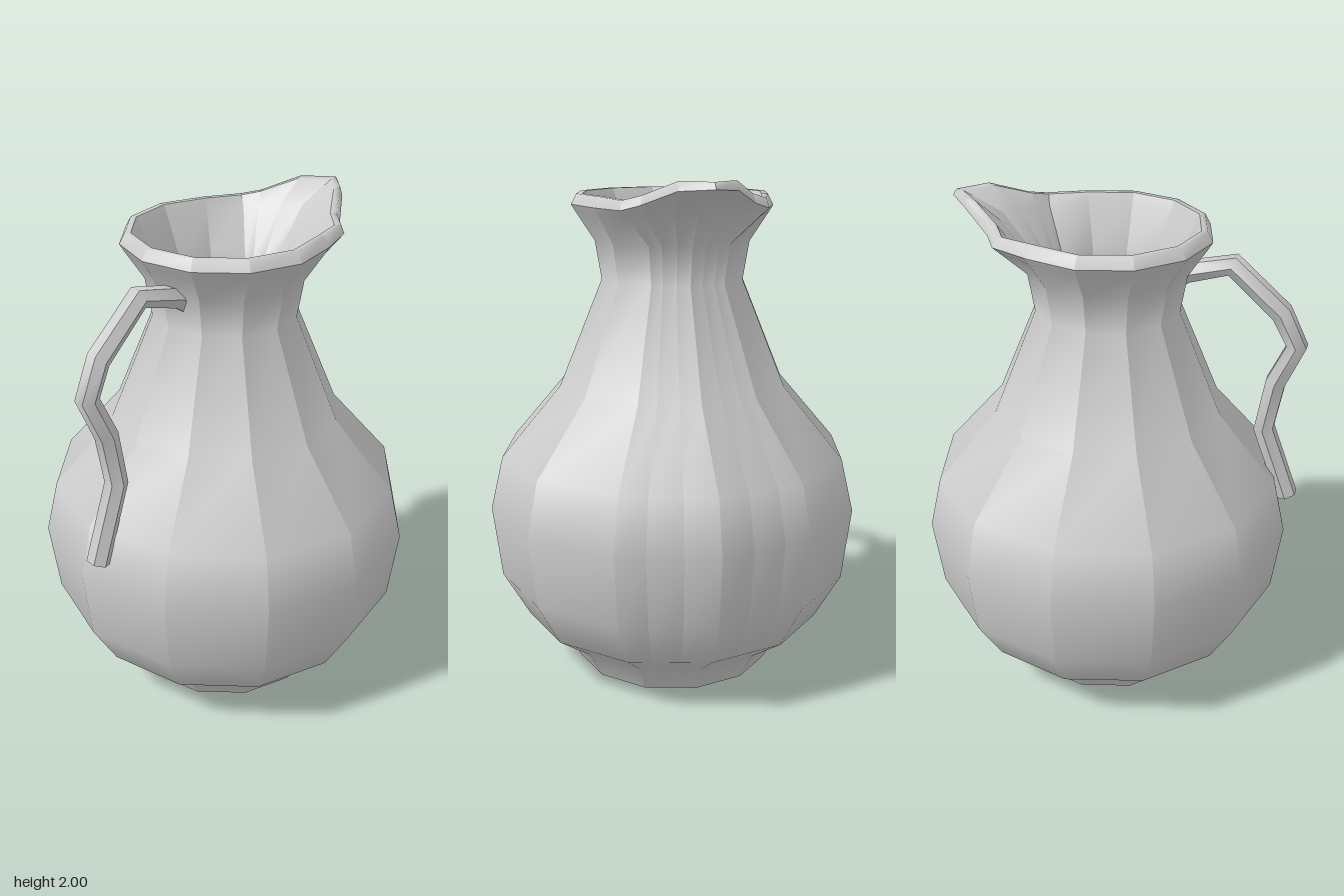
import * as THREE from 'three';

const V = (x, y, z) => new THREE.Vector3(x, y, z);
const CX = 0.013; // axis of the jug, offset by the handle

const material = new THREE.MeshStandardMaterial({ color: 0xcccccc, side: THREE.DoubleSide });

// Joins neighbouring columns of points: smooth along a column, hard edges between columns.
function strips(columns) {
  const pos = [], index = [];
  columns.forEach((a, i) => {
    const b = columns[(i + 1) % columns.length];
    const base = pos.length / 3;
    a.forEach((p, j) => {
      pos.push(...p.toArray(), ...b[j].toArray());
      if (j === 0) return;
      const k = base + 2 * j;
      index.push(k - 2, k - 1, k + 1, k - 2, k + 1, k);
    });
  });
  const g = new THREE.BufferGeometry();
  g.setAttribute('position', new THREE.Float32BufferAttribute(pos, 3));
  g.setIndex(index);
  g.computeVertexNormals();
  return g;
}

// Flat cap from a ring of points, facing up or down
function cap(ring, up) {
  const pos = [], c = ring.reduce((s, p) => s.add(p), V(0, 0, 0)).divideScalar(ring.length);
  ring.forEach((p, i) => {
    const q = ring[(i + 1) % ring.length];
    for (const v of up ? [c, p, q] : [c, q, p]) pos.push(...v.toArray());
  });
  const g = new THREE.BufferGeometry();
  g.setAttribute('position', new THREE.Float32BufferAttribute(pos, 3));
  g.computeVertexNormals();
  return g;
}

// Profiles as [radius, height]; the last outer and first inner points shape the lip
const OUTER = [[0.4, 0], [0.46, 0.11], [0.61, 0.215], [0.715, 0.4], [0.75, 0.69], [0.7, 0.9],
  [0.46, 1.18], [0.285, 1.6], [0.31, 1.75], [0.385, 1.865], [0.4, 1.89]];
const RIM = [[0.4, 1.89], [0.378, 1.93], [0.355, 1.93]];
const INNER = [[0.355, 1.93], [0.34, 1.9], [0.265, 1.73], [0.258, 1.6], [0.43, 1.18],
  [0.67, 0.9], [0.72, 0.69], [0.685, 0.4], [0.58, 0.23], [0.4, 0.06]];

// Spout: share of the way from the 30 degree corner to the tip, then [x, y, z] of each lip ring
const SPOUT = [
  { s: 0, under: [0.35, 1.86, 0.25], edge: [0.365, 1.89, 0.28], top: [0.352, 1.925, 0.272], lip: [0.335, 1.925, 0.255], throat: [0.325, 1.89, 0.23] },
  { s: 0.3, under: [0.36, 1.865, 0.19], edge: [0.41, 1.91, 0.215], top: [0.4, 1.945, 0.205], lip: [0.38, 1.945, 0.19], throat: [0.35, 1.895, 0.17] },
  { s: 0.65, under: [0.41, 1.89, 0.09], edge: [0.535, 1.965, 0.11], top: [0.525, 2, 0.105], lip: [0.5, 1.995, 0.095], throat: [0.4, 1.92, 0.085] },
  { s: 1, under: [0.43, 1.9, 0], edge: [0.632, 1.975, 0], top: [0.615, 2, 0], lip: [0.588, 1.995, 0], throat: [0.43, 1.925, 0] },
];

function onRing([r, y], deg) {
  const t = THREE.MathUtils.degToRad(deg);
  return V(CX + r * Math.cos(t), y, -r * Math.sin(t));
}

// All columns counter-clockwise: plain corners first, then the spout from one side to the other
function makeColumns(profile, lipNames) {
  const columns = [];
  for (let deg = 60; deg <= 300; deg += 30) columns.push(profile.map((p) => onRing(p, deg)));
  const spout = (part, side) => profile.map((p, j) => {
    const name = lipNames[j];
    if (name) return V(part[name][0], part[name][1], side * part[name][2]);
    return onRing(p, -30 * side).lerp(onRing(p, 0), part.s);
  });
  SPOUT.forEach((part) => columns.push(spout(part, 1)));
  SPOUT.slice(0, 3).reverse().forEach((part) => columns.push(spout(part, -1)));
  return columns;
}

// Six-sided bar swept along the handle path
function handleColumns() {
  const path = [[-0.17, 1.665, 0.055], [-0.28, 1.745, 0.055], [-0.455, 1.79, 0.06], [-0.65, 1.615, 0.07],
    [-0.715, 1.485, 0.08], [-0.645, 1.32, 0.085], [-0.612, 1.11, 0.085], [-0.725, 0.805, 0.095]]
    .map((p) => V(...p));
  const columns = Array.from({ length: 6 }, () => []);
  path.forEach((p, i) => {
    const before = path[Math.max(i - 1, 0)], after = path[Math.min(i + 1, path.length - 1)];
    const dir = after.clone().sub(before).normalize();
    const out = V(dir.y, -dir.x, 0).normalize();
    columns.forEach((col, k) => {
      const a = (k * Math.PI) / 3;
      col.push(p.clone().addScaledVector(out, 0.044 * Math.sin(a)).add(V(0, 0, 0.046 * Math.cos(a))));
    });
  });
  return columns;
}

export function createModel() {
  const group = new THREE.Group();
  const add = (name, geometry) => {
    const mesh = new THREE.Mesh(geometry, material);
    mesh.name = name;
    group.add(mesh);
  };

  // Body, lip and hollow inside
  const outer = makeColumns(OUTER, { 9: 'under', 10: 'edge' });
  const inner = makeColumns(INNER, { 0: 'lip', 1: 'throat' });
  add('body', strips(outer));
  add('rim', strips(makeColumns(RIM, { 0: 'edge', 1: 'top', 2: 'lip' })));
  add('innerWall', strips(inner));
  add('base', cap(outer.map((c) => c[0]), false));
  add('innerFloor', cap(inner.map((c) => c[c.length - 1]), true));

  // Handle with closed ends
  const bar = handleColumns();
  add('handle', strips(bar));
  add('handleTopEnd', cap(bar.map((c) => c[0]), false));
  add('handleLowerEnd', cap(bar.map((c) => c[c.length - 1]), true));
  return group;
}
